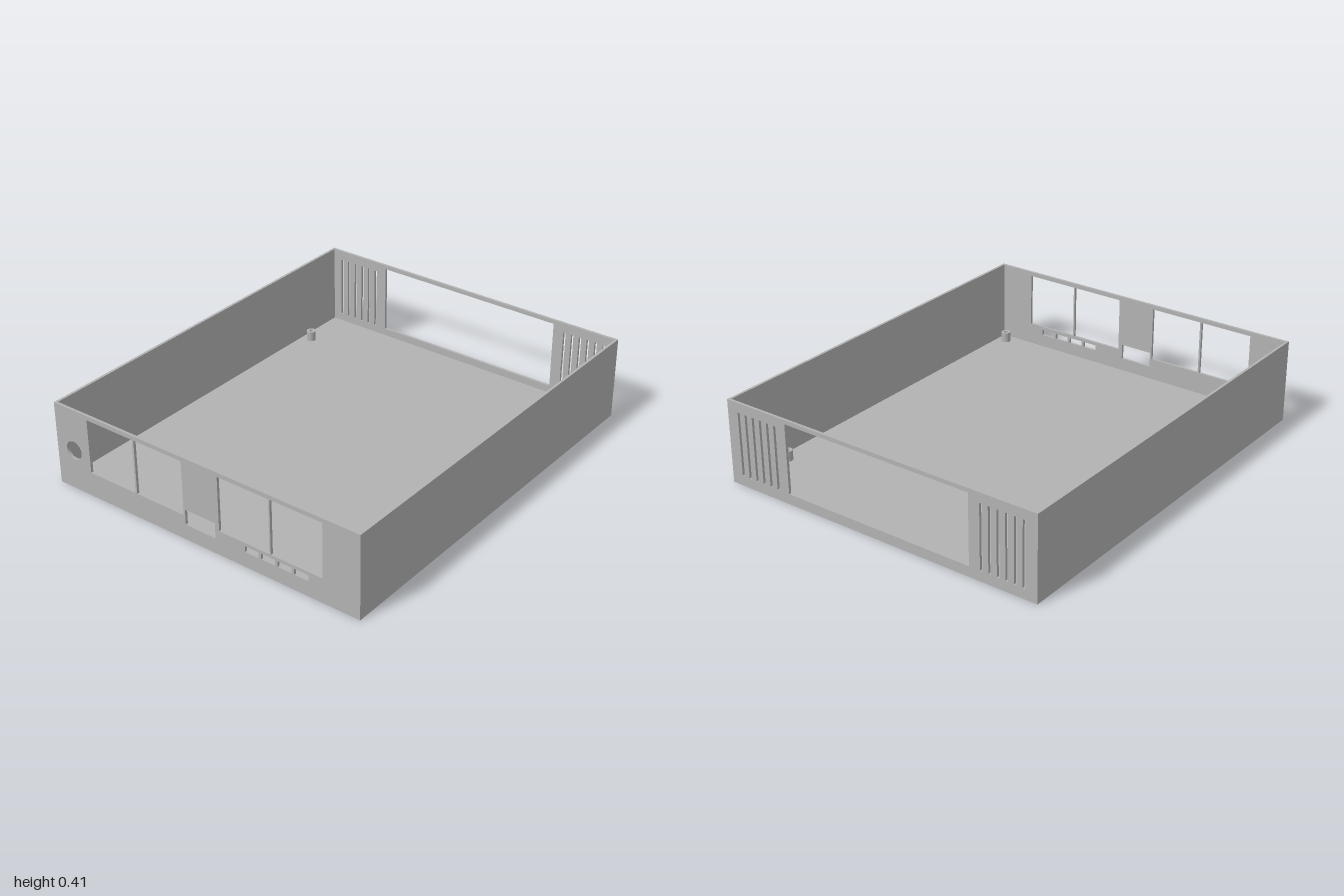
import * as THREE from 'three';

const W = 1.67, H = 0.41, D = 2, T = 0.013;

// Closed outline of a rectangle, from corner to corner
function rect(x0, y0, x1, y1, Type = THREE.Path) {
  const r = new Type();
  r.moveTo(x0, y0);
  r.lineTo(x1, y0);
  r.lineTo(x1, y1);
  r.lineTo(x0, y1);
  r.closePath();
  return r;
}

function circle(x, y, radius, Type = THREE.Path) {
  const c = new Type();
  c.absarc(x, y, radius, 0, Math.PI * 2, false);
  return c;
}

function plate(shape, holes, depth) {
  shape.holes.push(...holes);
  return new THREE.ExtrudeGeometry(shape, { depth, bevelEnabled: false, curveSegments: 16 });
}

export function createModel() {
  const group = new THREE.Group();
  const casing = new THREE.MeshStandardMaterial({ color: 0xb2b2b2 });
  casing.name = 'casing grey';

  const add = (name, geometry, x = 0, y = 0, z = 0) => {
    const mesh = new THREE.Mesh(geometry, casing);
    mesh.name = name;
    mesh.position.set(x, y, z);
    group.add(mesh);
    return mesh;
  };
  const panel = () => rect(-W / 2, 0, W / 2, H, THREE.Shape);

  // Front panel: round button hole, four bays, display window, small ports
  const frontHoles = [circle(-0.733, 0.2, 0.045), rect(-0.085, 0.076, 0.081, 0.152)];
  for (const [a, b] of [[-0.638, -0.371], [-0.362, -0.094], [0.103, 0.374], [0.381, 0.648]]) {
    // the display window stays just clear of the bays
    frontHoles.push(rect(a, 0.121, b, 0.389));
  }
  for (let i = 0; i < 4; i++) {
    const x = 0.242 + i * 0.0865;
    frontHoles.push(rect(x, 0.076, x + 0.073, 0.105));
  }
  add('frontPanel', plate(panel(), frontHoles, T), 0, 0, D / 2 - T);

  // Back panel: wide opening flanked by vent slots
  const backHoles = [rect(-0.495, 0.05, 0.495, 0.39)];
  for (const side of [-1, 1]) {
    for (let i = 0; i < 6; i++) {
      const x = side * (0.557 + i * 0.0425);
      backHoles.push(rect(x - 0.0065, 0.05, x + 0.0065, 0.362));
    }
  }
  add('backPanel', plate(panel(), backHoles, T), 0, 0, -D / 2);

  // Side walls fit between the two panels
  for (const side of [-1, 1]) {
    add(side > 0 ? 'leftWall' : 'rightWall', new THREE.BoxGeometry(T, H, D - 2 * T),
      side * (W - T) / 2, H / 2, 0);
  }

  // Floor with screw holes, and a hollow standoff above each hole
  const spots = [];
  for (const x of [-0.77, 0.77]) for (const z of [-0.72, 0.93]) spots.push([x, z]);
  const fw = W / 2 - T, fd = D / 2 - T;
  const floor = add('floor',
    plate(rect(-fw, -fd, fw, fd, THREE.Shape), spots.map(([x, z]) => circle(x, -z, 0.01)), T));
  floor.rotation.x = -Math.PI / 2;

  const standoff = plate(circle(0, 0, 0.023, THREE.Shape), [circle(0, 0, 0.01)], 0.05);
  for (const [x, z] of spots) add('standoff', standoff, x, T, z).rotation.x = -Math.PI / 2;

  return group;
}
